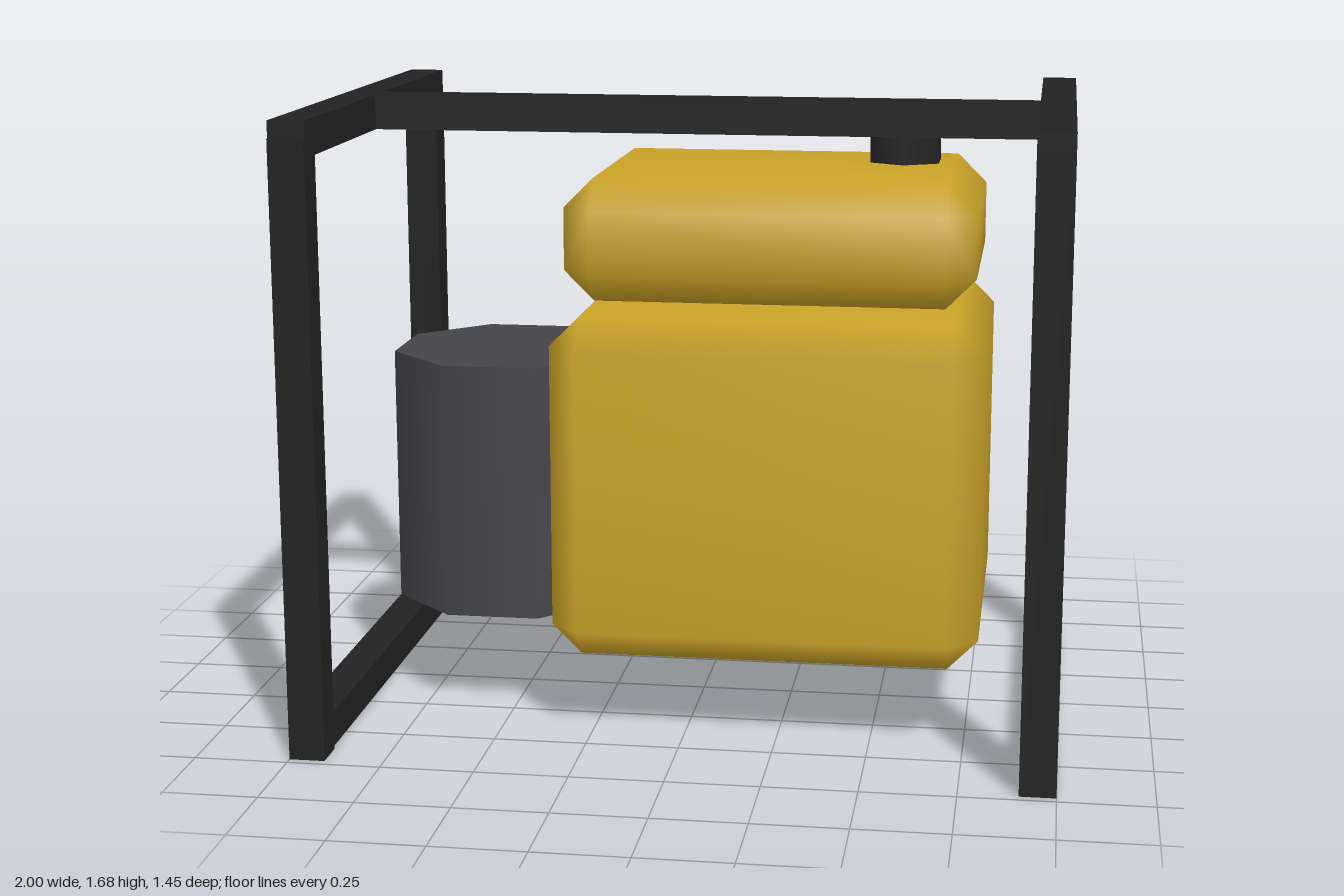
import * as THREE from 'three';
import { ConvexGeometry } from 'three/addons/geometries/ConvexGeometry.js';
import { mergeVertices } from 'three/addons/utils/BufferGeometryUtils.js';

const mat = (name, color) => {
  const m = new THREE.MeshStandardMaterial({ color });
  m.name = name;
  return m;
};

// Box with every edge cut by one bevel, shaded smoothly across it
function bevelBox(w, h, d, b) {
  const points = [];
  for (const sx of [-1, 1]) for (const sy of [-1, 1]) for (const sz of [-1, 1]) {
    const x = sx * w / 2, y = sy * h / 2, z = sz * d / 2;
    points.push(
      new THREE.Vector3(x, y - sy * b, z - sz * b),
      new THREE.Vector3(x - sx * b, y, z - sz * b),
      new THREE.Vector3(x - sx * b, y - sy * b, z),
    );
  }
  let geo = new ConvexGeometry(points);
  geo.deleteAttribute('normal');
  geo = mergeVertices(geo, 1e-4);
  geo.computeVertexNormals();
  return geo;
}

export function createModel() {
  const model = new THREE.Group();
  model.name = 'generator';
  const yellow = mat('yellow paint', 0xc9a227);
  const black = mat('black frame', 0x222222);
  const grey = mat('dark grey metal', 0x444449);

  const add = (parent, name, geo, material, x, y, z) => {
    const mesh = new THREE.Mesh(geo, material);
    mesh.name = name;
    mesh.position.set(x, y, z);
    parent.add(mesh);
  };

  // Square-tube frame: a hoop on each side joined by a top bar
  const t = 0.095;
  const frame = new THREE.Group();
  frame.name = 'frame';
  model.add(frame);
  for (const side of [-1, 1]) {
    const x = side * (1 - t / 2);
    for (const end of [-1, 1]) {
      add(frame, 'post', new THREE.BoxGeometry(t, 1.635, t), black, x, 0.8175, end * 0.679);
    }
    add(frame, 'topRail', new THREE.BoxGeometry(t, t, 1.44), black, x, 1.633, 0);
    add(frame, 'bottomRail', new THREE.BoxGeometry(t, t, 1.3), black, x, 0.056, 0);
  }
  add(frame, 'crossBar', new THREE.BoxGeometry(1.82, t, t), black, 0, 1.633, 0);

  // Engine housing and fuel tank
  add(model, 'housing', bevelBox(1.14, 0.92, 0.98, 0.08), yellow, 0.215, 0.684, 0);
  add(model, 'fuelTank', bevelBox(1.085, 0.326, 0.82, 0.08), yellow, 0.215, 1.337, 0);

  // Hexagonal fuel cap, standing on the tank
  add(model, 'fuelCap', new THREE.CylinderGeometry(0.108, 0.108, 0.18, 6), black, 0.54, 1.565, -0.145);

  // Octagonal alternator, partly sunk in the housing
  add(model, 'alternator', new THREE.CylinderGeometry(0.328, 0.328, 0.7, 8, 1, false, Math.PI / 8),
    grey, -0.545, 0.63, 0);

  return model;
}
